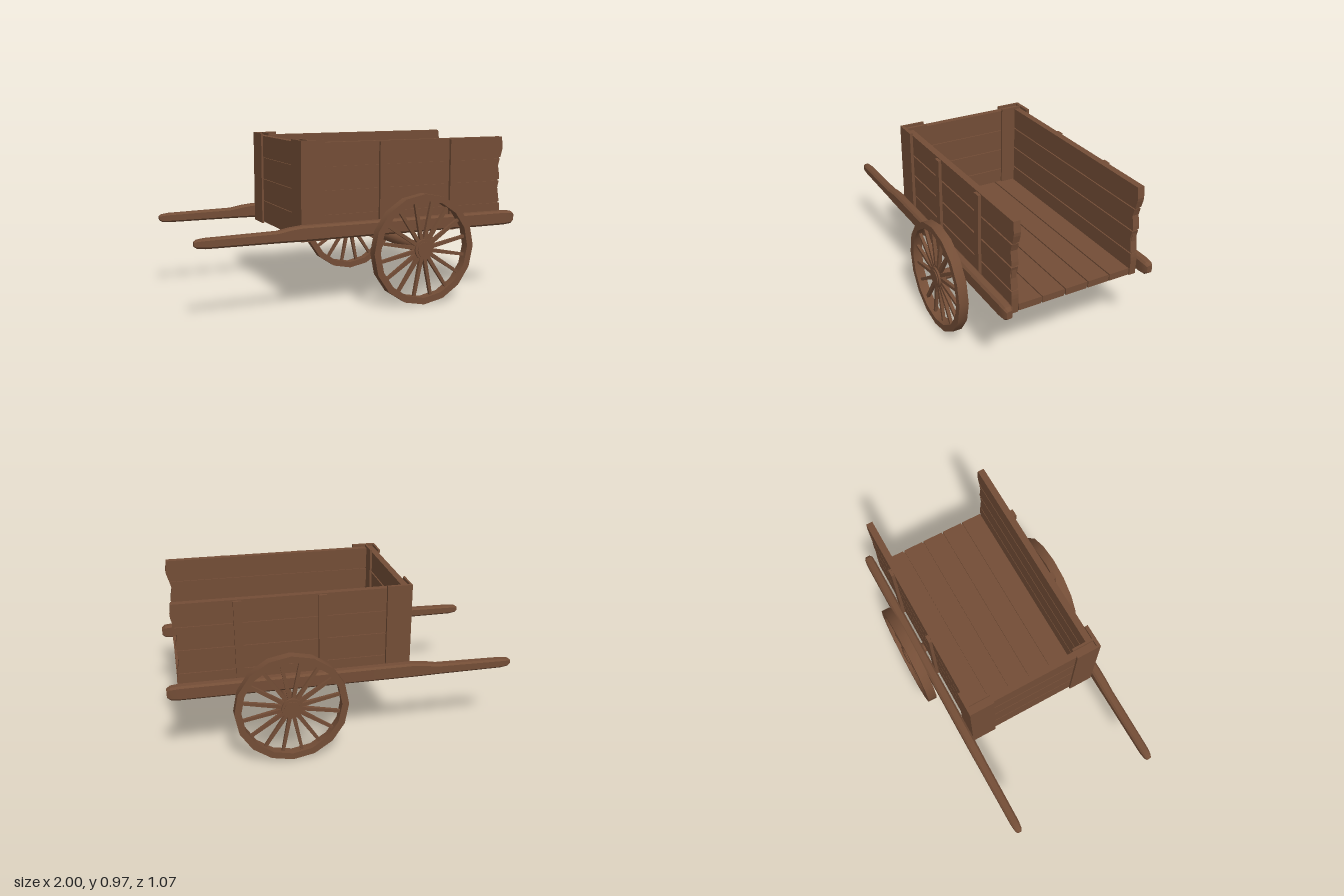
import * as THREE from 'three';
import { toCreasedNormals } from 'three/addons/utils/BufferGeometryUtils.js';

const wood = new THREE.MeshStandardMaterial({ color: 0x734d36 });
wood.name = 'brown wood';

const ROWS = [0.41, 0.547, 0.685, 0.82, 0.95]; // plank edges, bottom to top
const GAP = 0.005;                             // half the groove between planks
const MID = -0.009;                            // z centre of the box

function add(parent, name, geometry) {
  const mesh = new THREE.Mesh(geometry, wood);
  mesh.name = name;
  parent.add(mesh);
  return mesh;
}

// Box given by its lower and upper limits
function box(parent, name, x0, x1, y0, y1, z0, z1) {
  const mesh = add(parent, name, new THREE.BoxGeometry(x1 - x0, y1 - y0, z1 - z0));
  mesh.position.set((x0 + x1) / 2, (y0 + y1) / 2, (z0 + z1) / 2);
  return mesh;
}

// Wavy rear edge of the side walls: x for a given height
const WAVE = [[0.41, 0.936], [0.51, 0.938], [0.64, 0.917], [0.695, 0.932], [0.775, 0.918], [0.88, 0.949], [0.95, 0.94]];
function waveX(y) {
  for (let i = 1; i < WAVE.length; i++) {
    const [ya, xa] = WAVE[i - 1], [yb, xb] = WAVE[i];
    if (y <= yb) return xa + (xb - xa) * (y - ya) / (yb - ya);
  }
  return WAVE[WAVE.length - 1][1];
}

function wavyBoard(x0, y0, y1, thickness, inset = 0) {
  const shape = new THREE.Shape();
  shape.moveTo(x0, y0);
  for (let i = 0; i <= 6; i++) {
    const y = y0 + (y1 - y0) * i / 6;
    shape.lineTo(waveX(y) - inset, y);
  }
  shape.lineTo(x0, y1);
  const g = new THREE.ExtrudeGeometry(shape, { depth: thickness, bevelEnabled: false });
  return g.translate(0, 0, -thickness / 2);
}

function sideWall(side) {
  const wall = new THREE.Group();
  wall.name = side > 0 ? 'frontSideWall' : 'backSideWall';
  const z = MID + side * 0.374;
  for (let i = 0; i < 4; i++) {
    const y0 = ROWS[i] + (i ? GAP : 0), y1 = ROWS[i + 1] - (i < 3 ? GAP : 0);
    add(wall, 'sidePlank', wavyBoard(-0.33, y0, y1, 0.04)).position.z = z;
  }
  add(wall, 'sideCore', wavyBoard(-0.32, 0.42, 0.94, 0.024, 0.004)).position.z = z;
  // Outer uprights and corner board
  const a = MID + side * 0.392, b = MID + side * 0.412;
  const z0 = Math.min(a, b), z1 = Math.max(a, b);
  for (const x of [0.122, 0.59]) box(wall, 'sideBatten', x - 0.023, x + 0.023, 0.402, 0.945, z0, z1);
  box(wall, 'cornerBoard', -0.388, -0.245, 0.402, 0.965, z0, z1);
  return wall;
}

function endWall() {
  const wall = new THREE.Group();
  wall.name = 'endWall';
  for (let i = 0; i < 4; i++) {
    const y0 = ROWS[i] + (i ? GAP : 0), y1 = ROWS[i + 1] - (i < 3 ? GAP : 0);
    box(wall, 'endPlank', -0.376, -0.338, y0, y1, MID - 0.392, MID + 0.392);
  }
  box(wall, 'endCore', -0.368, -0.346, 0.42, 0.94, MID - 0.385, MID + 0.385);
  // Corner boards inside and outside
  for (const s of [-1, 1]) {
    const z0 = Math.min(s * 0.262, s * 0.393) + MID, z1 = Math.max(s * 0.262, s * 0.393) + MID;
    box(wall, 'outerCornerBoard', -0.388, -0.376, 0.402, 0.965, z0, z1);
    box(wall, 'innerCornerBoard', -0.338, -0.325, 0.402, 0.965, z0, z1);
  }
  return wall;
}

function floor() {
  const group = new THREE.Group();
  group.name = 'floor';
  const edges = [-0.362, -0.225, -0.085, 0.058, 0.202, 0.345];
  for (let i = 0; i < 5; i++)
    box(group, 'floorPlank', -0.34, 0.935, 0.415, 0.455, edges[i] + GAP, edges[i + 1] - GAP);
  box(group, 'floorCore', -0.33, 0.928, 0.423, 0.447, -0.36, 0.343);
  // Cross beams underneath
  for (const x of [-0.32, 0.122, 0.59])
    box(group, 'crossBeam', x - 0.023, x + 0.023, 0.402, 0.418, MID - 0.4, MID + 0.4);
  return group;
}

// Long shaft lofted through chamfered sections: [x, bottom, top, half width]
function shaftGeometry() {
  const sections = [
    [-1.0, 0.435, 0.46, 0.012], [-0.985, 0.425, 0.47, 0.02], [-0.94, 0.42, 0.475, 0.025],
    [-0.54, 0.418, 0.482, 0.027], [-0.47, 0.417, 0.495, 0.028], [-0.4, 0.416, 0.502, 0.028],
    [0.93, 0.415, 0.5, 0.028], [0.98, 0.42, 0.495, 0.026], [1.0, 0.435, 0.48, 0.016],
  ];
  const positions = [], index = [], n = 8;
  for (const [x, y0, y1, w] of sections) {
    const c = w * 0.4;
    const ring = [[y0, -w + c], [y0, w - c], [y0 + c, w], [y1 - c, w], [y1, w - c], [y1, -w + c], [y1 - c, -w], [y0 + c, -w]];
    for (const [y, z] of ring) positions.push(x, y, z);
  }
  for (let s = 0; s < sections.length - 1; s++)
    for (let i = 0; i < n; i++) {
      const a = s * n + i, b = s * n + (i + 1) % n;
      index.push(a, a + n, b, b, a + n, b + n);
    }
  const last = (sections.length - 1) * n;
  for (let i = 1; i < n - 1; i++) {
    index.push(0, i, i + 1);
    index.push(last, last + i + 1, last + i);
  }
  // Keep faces pointing outwards
  for (let i = 0; i < index.length; i += 3) {
    const p = k => new THREE.Vector3().fromArray(positions, index[i + k] * 3);
    const a = p(0), b = p(1), c = p(2);
    const normal = b.clone().sub(a).cross(c.clone().sub(a));
    const mid = a.clone().add(b).add(c).divideScalar(3);
    const out = new THREE.Vector3(Math.abs(mid.x) > 0.99 ? Math.sign(mid.x) * 0.1 : 0, mid.y - 0.452, mid.z);
    if (normal.dot(out) < 0) [index[i + 1], index[i + 2]] = [index[i + 2], index[i + 1]];
  }
  const g = new THREE.BufferGeometry();
  g.setAttribute('position', new THREE.Float32BufferAttribute(positions, 3));
  g.setIndex(index);
  return toCreasedNormals(g, 0.5);
}

function wheel(side) {
  const group = new THREE.Group();
  group.name = side > 0 ? 'frontWheel' : 'backWheel';
  const SIDES = 16, polygon = r => Array.from({ length: SIDES }, (_, i) => {
    const a = i / SIDES * Math.PI * 2;
    return new THREE.Vector2(Math.cos(a) * r, Math.sin(a) * r);
  });
  const rim = new THREE.Shape(polygon(0.325));
  rim.holes.push(new THREE.Path(polygon(0.286)));
  const rimGeo = new THREE.ExtrudeGeometry(rim, { depth: 0.056, bevelEnabled: false }).translate(0, 0, -0.028);
  add(group, 'rim', toCreasedNormals(rimGeo, 0.6));
  // Spokes taper towards the rim
  for (let i = 0; i < SIDES; i++) {
    const geo = new THREE.CylinderGeometry(0.012, 0.016, 0.25, 4, 1, true);
    geo.rotateY(Math.PI / 4).translate(0, 0.165, 0);
    add(group, 'spoke', geo.toNonIndexed()).rotation.z = (i + 0.5) / SIDES * Math.PI * 2;
    geo.dispose();
  }
  group.children.forEach(m => { if (m.name === 'spoke') m.geometry.computeVertexNormals(); });
  add(group, 'hub', new THREE.CylinderGeometry(0.06, 0.06, 0.044, 16).rotateX(Math.PI / 2));
  add(group, 'hubCap', new THREE.CylinderGeometry(0.045, 0.045, 0.054, 16).rotateX(Math.PI / 2));
  group.position.set(0.323, 0.325, side * 0.509);
  return group;
}

export function createModel() {
  const cart = new THREE.Group();
  cart.name = 'handCart';
  cart.add(floor(), endWall());
  const shaft = shaftGeometry();
  for (const side of [1, -1]) {
    cart.add(sideWall(side), wheel(side));
    add(cart, side > 0 ? 'frontShaft' : 'backShaft', shaft).position.z = MID + 0.0 + side * 0.44;
  }
  // Axle and the block that carries the floor
  const axle = add(cart, 'axle', new THREE.CylinderGeometry(0.031, 0.031, 0.98, 16).rotateX(Math.PI / 2));
  axle.position.set(0.323, 0.325, 0);
  box(cart, 'axleBlock', 0.293, 0.353, 0.33, 0.42, -0.022, 0.064);
  return cart;
}
